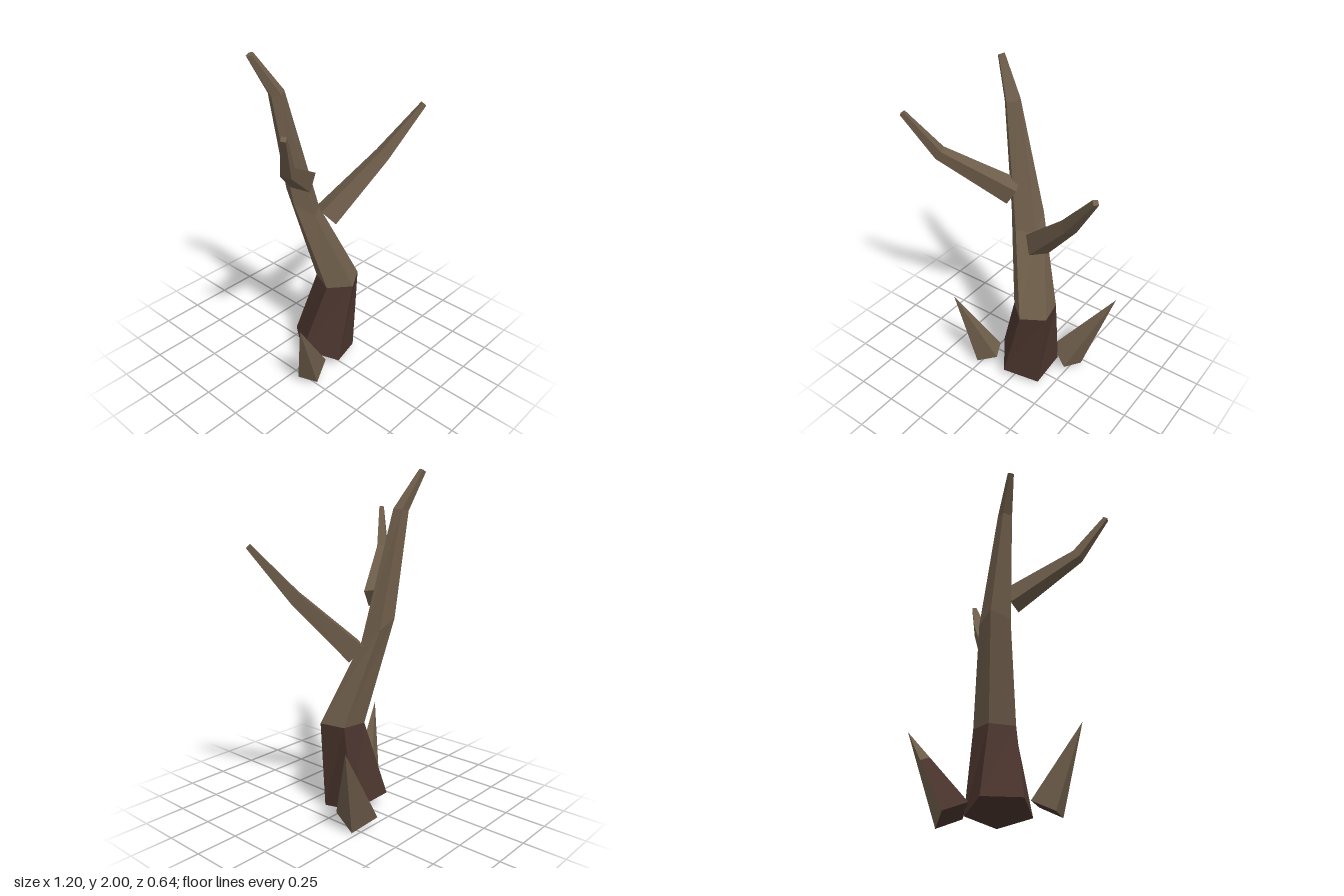
import * as THREE from 'three';

const V = (x, y, z) => new THREE.Vector3(x, y, z);

// Flat-faced geometry from polygons with corners in counterclockwise order
function polygons(list) {
  const pos = [];
  for (const p of list)
    for (let i = 1; i < p.length - 1; i++)
      for (const v of [p[0], p[i], p[i + 1]]) pos.push(v.x, v.y, v.z);
  const g = new THREE.BufferGeometry();
  g.setAttribute('position', new THREE.Float32BufferAttribute(pos, 3));
  g.computeVertexNormals();
  return g;
}

// Side walls joining consecutive rings
function walls(rings) {
  const out = [];
  for (let r = 0; r < rings.length - 1; r++) {
    const a = rings[r], b = rings[r + 1], n = a.length;
    for (let i = 0; i < n; i++) {
      const j = (i + 1) % n;
      out.push([a[i], a[j], b[j]], [a[i], b[j], b[i]]);
    }
  }
  return out;
}

// Five-sided trunk ring, tilted by slopes along x and z
function trunkRing(x, y, z, r, phase, sx, sz) {
  return Array.from({ length: 5 }, (_, i) => {
    const a = THREE.MathUtils.degToRad(phase + 72 * i);
    const dx = r * Math.sin(a), dz = r * Math.cos(a);
    return V(x + dx, y + sx * dx + sz * dz, z + dz);
  });
}

// Four-sided tapering branch along a bent path
function branch(path, radii, phase) {
  const rings = path.map((p, k) => {
    const d = path[Math.min(k + 1, path.length - 1)].clone()
      .sub(path[Math.max(k - 1, 0)]).normalize();
    const u = V(0, 1, 0).cross(d).normalize();
    const v = d.clone().cross(u);
    return Array.from({ length: 4 }, (_, i) => {
      const a = phase + i * Math.PI / 2;
      return p.clone().addScaledVector(u, radii[k] * Math.cos(a))
        .addScaledVector(v, radii[k] * Math.sin(a));
    });
  });
  return polygons([...walls(rings), [...rings[0]].reverse(), rings[rings.length - 1]]);
}

export function createModel() {
  const bark = new THREE.MeshStandardMaterial({ color: 0x6e5d4a });
  bark.name = 'bark brown';
  const dark = new THREE.MeshStandardMaterial({ color: 0x4a342d });
  dark.name = 'dark red brown';

  const group = new THREE.Group();
  group.name = 'deadTree';
  const add = (name, geometry, material) => {
    const m = new THREE.Mesh(geometry, material);
    m.name = name;
    group.add(m);
  };

  // Trunk: dark stump below, leaning bark above
  const foot = trunkRing(0.014, 0.075, -0.01, 0.195, -18, -0.216, -0.17);
  const waist = trunkRing(0.093, 0.557, 0.037, 0.135, -6, 0.03, 0);
  const upper = [
    waist,
    trunkRing(-0.062, 1.1, -0.1, 0.1, -6, -0.4, -0.6),
    trunkRing(-0.2, 1.775, -0.15, 0.046, -6, 0.2, 0),
    trunkRing(-0.318, 1.99, -0.21, 0.02, -6, 0.5, 0.1),
  ];
  add('trunkBase', polygons([...walls([foot, waist]), [...foot].reverse()]), dark);
  add('trunk', polygons([...walls(upper), upper[3]]), bark);

  // Branches
  add('leftBranch', branch(
    [V(0.06, 0.985, -0.03), V(0.37, 1.32, 0.125), V(0.583, 1.605, 0.243)],
    [0.085, 0.05, 0.02], 0.6), bark);
  add('rightBranch', branch(
    [V(-0.12, 1.275, -0.04), V(-0.455, 1.515, 0.185), V(-0.587, 1.763, 0.305)],
    [0.08, 0.042, 0.019], 0.6), bark);

  // Root spikes: four-sided points with a dark underside
  const spike = (name, base, tip, darkSide) => {
    const brown = [], red = [[...base].reverse()];
    base.forEach((p, i) => {
      const q = base[(i + 1) % 4];
      if (i !== darkSide) return brown.push([p, q, tip]);
      const pm = p.clone().lerp(tip, 0.62), qm = q.clone().lerp(tip, 0.62);
      red.push([p, q, qm, pm]);
      brown.push([pm, qm, tip]);
    });
    add(name, polygons(brown), bark);
    add(name + 'Dark', polygons(red), dark);
  };
  spike('leftRoot', [V(0.258, 0.065, -0.067), V(0.294, 0, -0.22),
    V(0.148, 0.065, -0.287), V(0.116, 0.125, -0.14)], V(0.457, 0.557, -0.322), 2);
  spike('rightRoot', [V(-0.18, 0.108, 0.035), V(-0.312, 0.04, 0.083),
    V(-0.257, 0.027, 0.19), V(-0.13, 0.095, 0.142)], V(-0.41, 0.512, 0.204), -1);

  return group;
}
